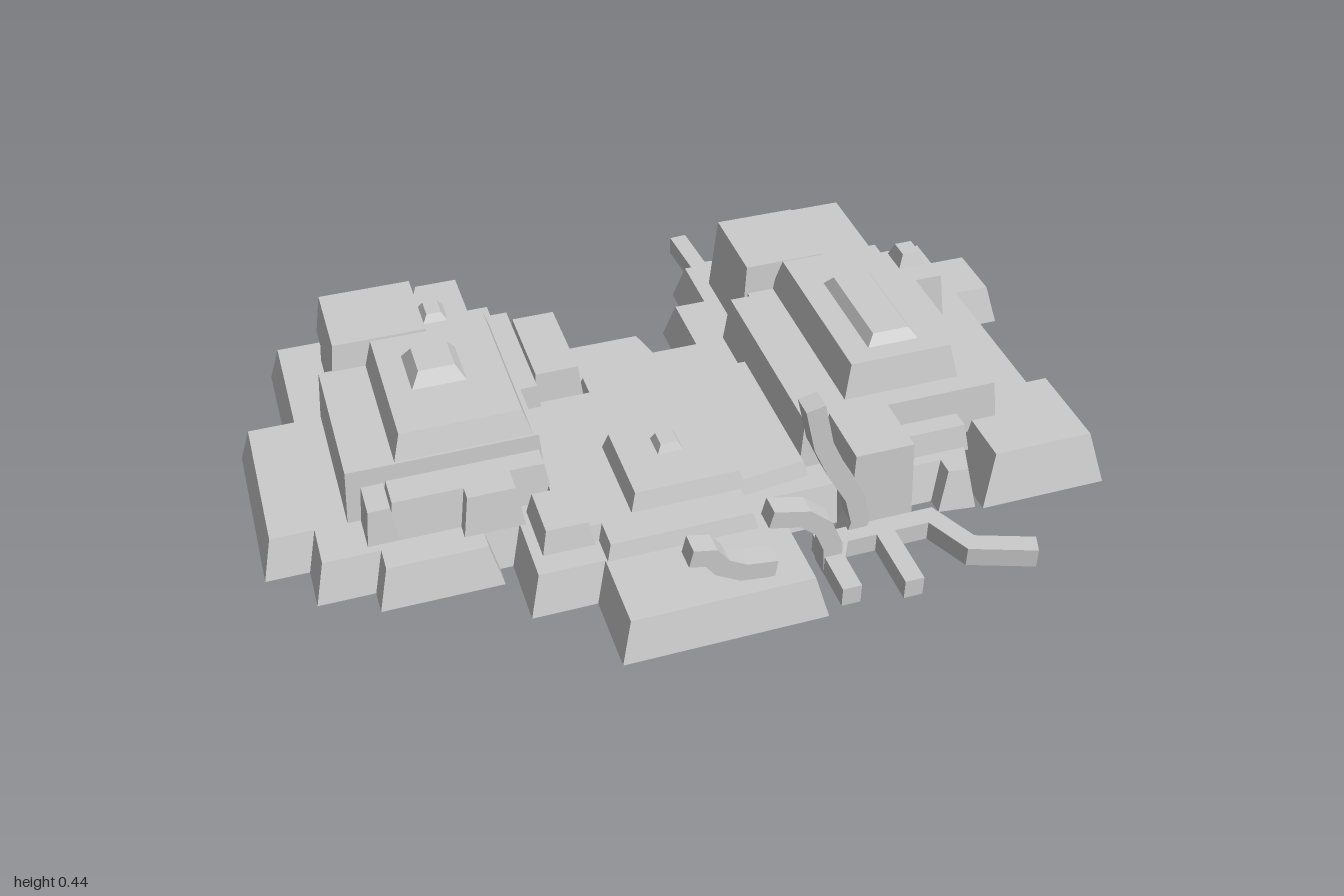
import * as THREE from 'three';

const material = new THREE.MeshStandardMaterial({ color: 0xcccccc, flatShading: true, side: THREE.DoubleSide });

// Mitred offset of a polyline; positive d moves to the left of travel
function offset(points, d, closed) {
  const n = points.length;
  const normal = (a, b) => new THREE.Vector2(a.y - b.y, b.x - a.x).normalize();
  return points.map((p, i) => {
    const prev = closed || i > 0 ? points[(i + n - 1) % n] : null;
    const next = closed || i < n - 1 ? points[(i + 1) % n] : null;
    const n1 = prev ? normal(prev, p) : normal(p, next);
    const n2 = next ? normal(p, next) : n1;
    const m = n1.clone().add(n2).divideScalar(1 + n1.dot(n2));
    return p.clone().addScaledVector(m, d);
  });
}

// Rock step: outline in [x, z], sloping walls and a flat top, open below
function terrace(group, name, outline, y0, y1, inset) {
  // Work in (x, -z) so counter-clockwise outlines face up
  const base = outline.map(([x, z]) => new THREE.Vector2(x, -z));
  if (THREE.ShapeUtils.isClockWise(base)) base.reverse();
  const top = offset(base, inset, true);
  const pos = [];
  const put = (p, y) => pos.push(p.x, y, -p.y);
  base.forEach((a, i) => {
    const j = (i + 1) % base.length;
    put(a, y0); put(base[j], y0); put(top[j], y1);
    put(a, y0); put(top[j], y1); put(top[i], y1);
  });
  for (const tri of THREE.ShapeUtils.triangulateShape(top, [])) tri.forEach((k) => put(top[k], y1));
  const geometry = new THREE.BufferGeometry();
  geometry.setAttribute('position', new THREE.Float32BufferAttribute(pos, 3));
  geometry.computeVertexNormals();
  const mesh = new THREE.Mesh(geometry, material);
  mesh.name = name;
  group.add(mesh);
}

// Rectangular rock step
function block(group, name, x0, x1, z0, z1, y0, y1, inset) {
  terrace(group, name, [[x0, z0], [x1, z0], [x1, z1], [x0, z1]], y0, y1, inset);
}

// Square-section branch following a flat path
function branch(group, name, path, width, depth) {
  const points = path.map(([a, b]) => new THREE.Vector2(a, b));
  const shape = new THREE.Shape([...offset(points, -width / 2, false), ...offset(points, width / 2, false).reverse()]);
  const mesh = new THREE.Mesh(new THREE.ExtrudeGeometry(shape, { depth, bevelEnabled: false }), material);
  mesh.name = name;
  group.add(mesh);
  return mesh;
}

// Branch lying on the ground, path in [x, z]
function groundRoot(group, path) {
  const mesh = branch(group, 'groundRoot', path.map(([x, z]) => [x, -z]), 0.045, 0.05);
  mesh.rotation.x = -Math.PI / 2;
  mesh.position.y = 0.01;
}

export function createModel() {
  const model = new THREE.Group();
  model.name = 'terracedRocks';

  // Broad stepped foot
  terrace(model, 'baseRock', [
    [-0.89, -0.5], [-0.56, -0.5], [-0.56, -0.56], [-0.345, -0.56], [-0.345, -0.41], [-0.24, -0.41],
    [-0.24, -0.35], [-0.145, -0.35], [-0.145, -0.28], [0.04, -0.28], [0.06, -0.2], [0.13, -0.2],
    [0.13, -0.37], [0.21, -0.37], [0.21, -0.53], [0.54, -0.53], [0.54, -0.55], [0.74, -0.55],
    [0.74, -0.35], [1, -0.35], [1, -0.15], [0.91, -0.15], [0.91, 0.34], [0.67, 0.36],
    [0.62, 0.5], [0.53, 0.49], [0.53, 0.45], [0.16, 0.45], [0.16, 0.72], [-0.31, 0.72],
    [-0.31, 0.53], [-0.46, 0.53], [-0.46, 0.36], [-0.49, 0.36], [-0.49, 0.41], [-0.77, 0.41],
    [-0.77, 0.35], [-0.9, 0.35], [-0.9, 0.24], [-1, 0.24], [-1, -0.2], [-0.89, -0.2],
  ], 0.01, 0.11, 0.026);
  block(model, 'frontCornerRock', 0.635, 0.95, 0.22, 0.51, 0.01, 0.14, 0.035);

  // Right-hand hill
  const rightHill = new THREE.Group();
  rightHill.name = 'rightHill';
  model.add(rightHill);
  terrace(rightHill, 'hillStep', [
    [-0.8, -0.18], [-0.765, -0.18], [-0.765, -0.4], [-0.53, -0.4], [-0.51, -0.46], [-0.39, -0.46],
    [-0.39, -0.32], [-0.34, -0.32], [-0.34, 0.215], [-0.8, 0.215],
  ], 0.11, 0.245, 0.01);
  block(rightHill, 'rearCrag', -0.765, -0.51, -0.4, -0.16, 0.2, 0.312, 0.016);
  block(rightHill, 'hillTop', -0.68, -0.36, -0.24, 0.2, 0.24, 0.306, 0.02);
  block(rightHill, 'topSlab', -0.605, -0.47, -0.1, 0.04, 0.3, 0.34, 0.025);
  block(rightHill, 'topPebble', -0.53, -0.465, -0.28, -0.2, 0.3, 0.325, 0.015);
  terrace(rightHill, 'frontLedge', [
    [-0.72, 0.2], [-0.34, 0.2], [-0.34, 0.28], [-0.42, 0.28], [-0.42, 0.34], [-0.56, 0.34], [-0.56, 0.305], [-0.72, 0.305],
  ], 0.11, 0.21, 0.015);
  block(rightHill, 'sideLedge', -0.77, -0.7, 0.18, 0.305, 0.11, 0.2, 0.01);

  // Left-hand hill
  const leftHill = new THREE.Group();
  leftHill.name = 'leftHill';
  model.add(leftHill);
  terrace(leftHill, 'hillStep', [
    [0.23, -0.18], [0.28, -0.18], [0.28, -0.42], [0.5, -0.42], [0.52, -0.47], [0.66, -0.47],
    [0.66, -0.26], [0.805, -0.26], [0.805, -0.09], [0.735, -0.09], [0.735, 0.35], [0.23, 0.35],
  ], 0.11, 0.235, 0.013);
  block(leftHill, 'rearLedge', 0.48, 0.66, -0.47, -0.16, 0.12, 0.27, 0.013);
  block(leftHill, 'rearCrag', 0.275, 0.51, -0.42, -0.17, 0.11, 0.31, 0.016);
  block(leftHill, 'hillTop', 0.36, 0.65, -0.19, 0.29, 0.23, 0.32, 0.02);
  block(leftHill, 'topSlab', 0.435, 0.575, -0.06, 0.23, 0.31, 0.345, 0.025);
  block(leftHill, 'ledgePebble', 0.7, 0.775, -0.24, -0.16, 0.225, 0.27, 0.015);
  block(leftHill, 'frontPillar', 0.29, 0.45, 0.33, 0.51, 0.01, 0.25, 0.01);
  block(leftHill, 'frontLedge', 0.44, 0.64, 0.33, 0.4, 0.1, 0.17, 0.012);

  // Low saddle between the hills
  const saddle = new THREE.Group();
  saddle.name = 'saddle';
  model.add(saddle);
  terrace(saddle, 'saddleStep', [
    [-0.36, -0.03], [-0.18, -0.03], [-0.18, -0.09], [-0.02, -0.09], [0, -0.03], [0.24, -0.03],
    [0.24, 0.38], [0.07, 0.4], [0.07, 0.51], [-0.28, 0.51], [-0.28, 0.44], [-0.36, 0.44],
  ], 0.11, 0.15, 0.01);
  block(saddle, 'rearColumn', -0.3, -0.175, -0.31, -0.055, 0.11, 0.2, 0.01);
  block(saddle, 'rearLink', -0.4, -0.29, -0.33, 0, 0.11, 0.21, 0.01);
  block(saddle, 'frontStep', -0.41, -0.29, 0.3, 0.45, 0.11, 0.17, 0.012);
  block(saddle, 'middleRock', -0.2, 0.075, 0.18, 0.42, 0.14, 0.195, 0.015);
  block(saddle, 'middlePebble', -0.1, -0.035, 0.235, 0.3, 0.19, 0.215, 0.012);

  // Roots spreading over the ground
  const roots = new THREE.Group();
  roots.name = 'roots';
  model.add(roots);
  groundRoot(roots, [[0.2, 0.54], [0.48, 0.54], [0.53, 0.65], [0.67, 0.7]]);
  groundRoot(roots, [[0.36, 0.53], [0.36, 0.72]]);
  groundRoot(roots, [[0.26, 0.53], [0.22, 0.6], [0.22, 0.7]]);
  groundRoot(roots, [[0.29, -0.73], [0.3, -0.57], [0.49, -0.53], [0.52, -0.61], [0.62, -0.61], [0.745, -0.715]]);

  // Upright curling branches, path in [x, y], with their depth position
  const uprights = [
    [[[0.29, 0.01], [0.31, 0.08], [0.29, 0.16], [0.24, 0.25], [0.205, 0.33], [0.18, 0.44]], 0.48],
    [[[0.22, 0.01], [0.215, 0.09], [0.19, 0.15], [0.145, 0.19], [0.065, 0.21]], 0.545],
    [[[0.055, 0.13], [-0.02, 0.14], [-0.07, 0.17], [-0.095, 0.205], [-0.14, 0.215]], 0.61],
  ];
  for (const [path, z] of uprights) branch(roots, 'curlingBranch', path, 0.045, 0.05).position.z = z;

  return model;
}
